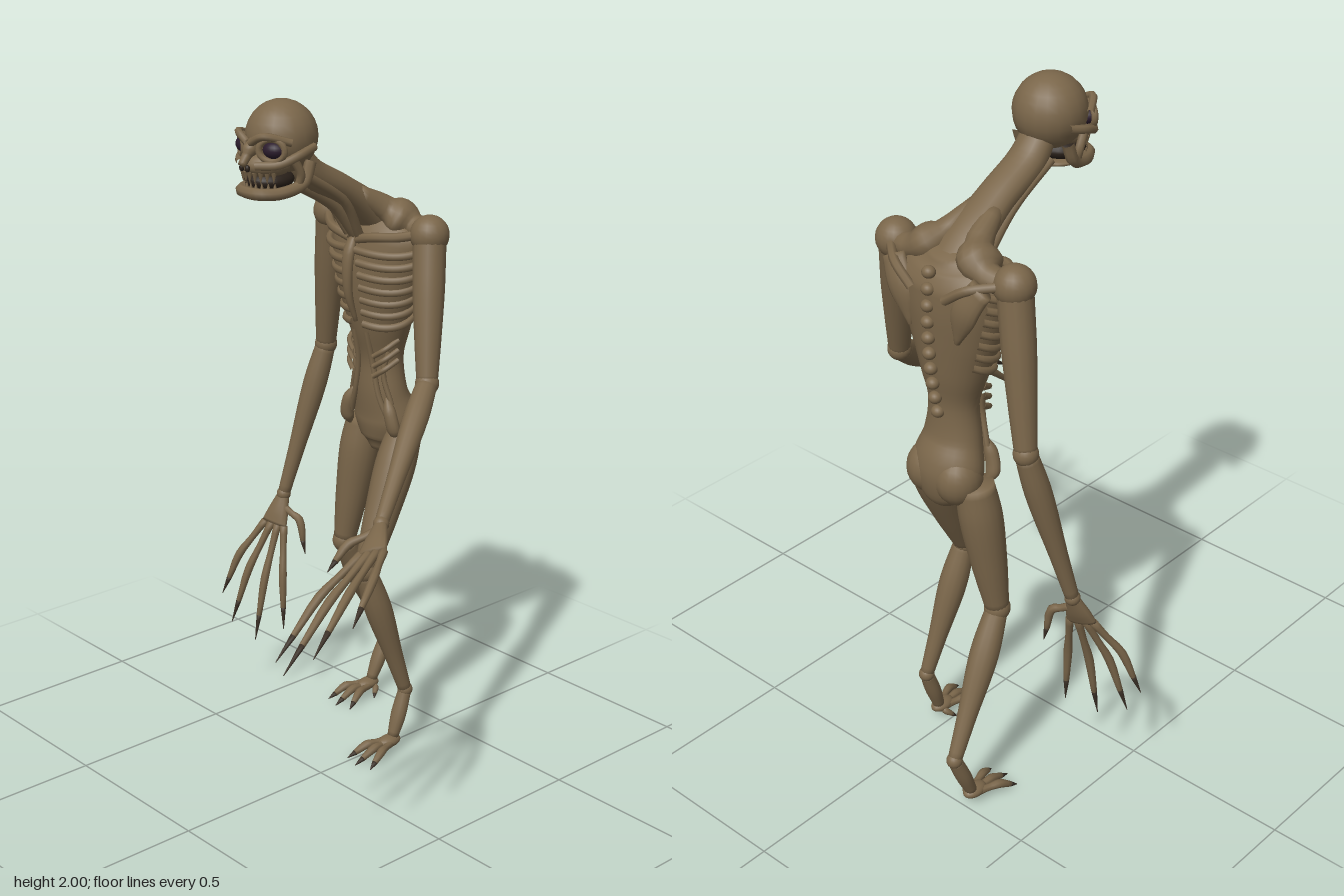
import * as THREE from 'three';

const mat = (name, color) => Object.assign(new THREE.MeshStandardMaterial({ color }), { name });
const skin = mat('dried brown skin', 0x7a664a);
const claw = mat('dark claw', 0x3b3026);
const eyeMat = mat('dark violet eye', 0x2b1c2c);
const mouthMat = mat('dark mouth', 0x2a211a);

const V = (a) => new THREE.Vector3(a[0], a[1], a[2]);

function add(parent, name, geo, material = skin) {
  const m = new THREE.Mesh(geo, material);
  m.name = name;
  parent.add(m);
  return m;
}

// Smooth body along sections [x, y, z, radiusAcross, radiusDeep]; "across" sets the width direction
function sweep(sections, { seg = 14, steps = 5, across = [1, 0, 0] } = {}) {
  const path = new THREE.CatmullRomCurve3(sections.map(V));
  const size = new THREE.CatmullRomCurve3(sections.map((s) => new THREE.Vector3(s[3], s[4] ?? s[3], 0)));
  const n = (sections.length - 1) * steps, pos = [], idx = [];
  for (let i = 0; i <= n; i++) {
    const p = path.getPoint(i / n), t = path.getTangent(i / n), r = size.getPoint(i / n);
    const u = V(across).addScaledVector(t, -V(across).dot(t)).normalize();
    const v = new THREE.Vector3().crossVectors(t, u);
    for (let j = 0; j < seg; j++) {
      const a = (j / seg) * Math.PI * 2;
      pos.push(...p.clone().addScaledVector(u, r.x * Math.cos(a)).addScaledVector(v, r.y * Math.sin(a)).toArray());
    }
  }
  const c0 = pos.length / 3;
  pos.push(...sections[0].slice(0, 3), ...sections[sections.length - 1].slice(0, 3));
  for (let j = 0; j < seg; j++) {
    const k = (j + 1) % seg;
    for (let i = 0; i < n; i++) {
      const a = i * seg + j, b = i * seg + k;
      idx.push(a, b, b + seg, a, b + seg, a + seg);
    }
    idx.push(c0, k, j, c0 + 1, n * seg + j, n * seg + k);
  }
  const g = new THREE.BufferGeometry();
  g.setAttribute('position', new THREE.Float32BufferAttribute(pos, 3));
  g.setIndex(idx);
  g.computeVertexNormals();
  return g;
}

const tube = (pts, r, n = 14) => new THREE.TubeGeometry(new THREE.CatmullRomCurve3(pts.map(V)), n, r, 7);

function ball(parent, name, p, rx, ry = rx, rz = rx, material = skin) {
  const m = add(parent, name, new THREE.SphereGeometry(1, 20, 14), material);
  m.position.set(...p);
  m.scale.set(rx, ry, rz);
  return m;
}

// Finger or toe through base, middle and tip, ending in a dark claw
function digit(parent, name, base, mid, tip, r) {
  const c = V(mid).lerp(V(tip), 0.6).toArray();
  add(parent, name, sweep([[...base, r], [...V(base).lerp(V(mid), 0.5).toArray(), r * 0.8], [...mid, r], [...c, r * 0.65]], { seg: 8, steps: 3 }));
  add(parent, name + 'Claw', sweep([[...c, r * 0.66], [...tip, 0.001]], { seg: 8, steps: 3 }), claw);
}

function torso(g) {
  add(g, 'torso', sweep([
    [0, 0.91, -0.36, 0.035, 0.04], [0, 0.95, -0.37, 0.08, 0.07], [0, 1.02, -0.37, 0.108, 0.08],
    [0, 1.1, -0.35, 0.088, 0.066], [0, 1.2, -0.345, 0.073, 0.06], [0, 1.3, -0.34, 0.1, 0.08],
    [0, 1.4, -0.335, 0.135, 0.095], [0, 1.5, -0.335, 0.163, 0.102], [0, 1.57, -0.34, 0.175, 0.097],
    [0, 1.62, -0.35, 0.12, 0.07], [0, 1.645, -0.36, 0.05, 0.035]], { seg: 28 }));
  add(g, 'sternum', sweep([[0, 1.58, -0.235, 0.012, 0.01], [0, 1.53, -0.215, 0.02, 0.014], [0, 1.42, -0.215, 0.014, 0.012], [0, 1.33, -0.245, 0.006]]));
  for (let i = 0; i < 10; i++) ball(g, 'vertebra', [0, 1.61 - i * 0.046, -0.432 + 0.00085 * (i - 3) ** 2 - 0.005], 0.019, 0.017, 0.018);
  for (const s of [-1, 1]) {
    // Ribs wrap the chest and rise towards the back
    for (let i = 0; i < 7; i++) {
      const y = 1.545 - i * 0.037, pts = [];
      for (let k = 0; k <= 7; k++) {
        const a = 0.1 + k * 0.28 + i * 0.015, yy = y + 0.03 * (k / 7) - 0.018 * Math.sin((k / 7) * Math.PI);
        const w = THREE.MathUtils.clamp((yy - 1.2) / 0.35, 0, 1);
        pts.push([s * (0.074 + 0.104 * w) * Math.sin(a), yy, -0.336 + (0.066 + 0.046 * w) * Math.cos(a)]);
      }
      add(g, 'rib', tube(pts, 0.0115, 20));
    }
    // Loose lower ribs
    for (let i = 0; i < 3; i++) add(g, 'floatingRib', tube([[s * 0.09, 1.275 - i * 0.03, -0.33], [s * 0.075, 1.25 - i * 0.03, -0.29], [s * 0.042, 1.225 - i * 0.03, -0.275]], 0.008));
    add(g, 'collarbone', tube([[s * 0.015, 1.575, -0.235], [s * 0.08, 1.59, -0.235], [s * 0.14, 1.595, -0.27], [s * 0.2, 1.61, -0.32]], 0.014));
    add(g, 'trapezius', sweep([[s * 0.03, 1.71, -0.22, 0.025], [s * 0.06, 1.655, -0.31, 0.04, 0.035], [s * 0.12, 1.615, -0.35, 0.04, 0.035], [s * 0.2, 1.6, -0.34, 0.03]], { across: [0, 0, 1] }));
    add(g, 'shoulderBlade', sweep([[s * 0.15, 1.6, -0.4, 0.035, 0.02], [s * 0.11, 1.53, -0.418, 0.042, 0.02], [s * 0.08, 1.43, -0.415, 0.008, 0.008]]));
    add(g, 'shoulderBladeRidge', tube([[s * 0.19, 1.61, -0.37], [s * 0.12, 1.595, -0.425], [s * 0.055, 1.55, -0.435]], 0.013));
    add(g, 'bellyTendon', tube([[s * 0.025, 1.3, -0.262], [s * 0.03, 1.2, -0.284], [s * 0.05, 1.1, -0.292], [s * 0.08, 1.03, -0.305]], 0.009));
    add(g, 'sideTendon', tube([[s * 0.07, 1.24, -0.31], [s * 0.06, 1.17, -0.3], [s * 0.085, 1.08, -0.31]], 0.008));
    add(g, 'hipBone', sweep([[s * 0.07, 1.1, -0.305, 0.006], [s * 0.088, 1.06, -0.3, 0.02, 0.018], [s * 0.1, 1.01, -0.305, 0.022, 0.018], [s * 0.095, 0.98, -0.32, 0.008]]));
    ball(g, 'buttock', [s * 0.05, 1.0, -0.385], 0.065, 0.075, 0.067);
  }
}

function headAndNeck(g) {
  add(g, 'neck', sweep([[0, 1.85, -0.01, 0.05, 0.04], [0, 1.79, -0.06, 0.054, 0.045], [0, 1.725, -0.18, 0.056, 0.042], [0, 1.655, -0.28, 0.066, 0.05], [0, 1.58, -0.36, 0.085, 0.05]], { seg: 18 }));
  add(g, 'throatCord', tube([[0, 1.77, -0.01], [0, 1.68, -0.16], [0, 1.58, -0.245]], 0.018));
  for (const s of [-1, 1]) add(g, 'neckCord', tube([[s * 0.045, 1.79, -0.02], [s * 0.04, 1.7, -0.16], [s * 0.02, 1.58, -0.24]], 0.014));
  ball(g, 'cranium', [0, 1.9, 0.03], 0.099, 0.1, 0.1);
  ball(g, 'upperJaw', [0, 1.835, 0.085], 0.072, 0.04, 0.073);
  ball(g, 'mouthInside', [0, 1.79, 0.075], 0.066, 0.032, 0.07, mouthMat);
  add(g, 'noseBridge', sweep([[0, 1.9, 0.125, 0.014], [0, 1.865, 0.15, 0.014], [0, 1.838, 0.17, 0.011]]));
  ball(g, 'jawFloor', [0, 1.757, 0.075], 0.06, 0.014, 0.07);
  add(g, 'lowerJaw', tube([[-0.085, 1.84, 0.0], [-0.085, 1.785, 0.025], [-0.07, 1.763, 0.09], [-0.035, 1.762, 0.142], [0.035, 1.762, 0.142], [0.07, 1.763, 0.09], [0.085, 1.785, 0.025], [0.085, 1.84, 0.0]], 0.017, 40));
  // Both rows of pointed teeth
  for (let i = 0; i < 10; i++) {
    const a = (i - 4.5) * 0.25, x = 0.064 * Math.sin(a), z = 0.075 + 0.075 * Math.cos(a);
    add(g, 'upperTooth', new THREE.ConeGeometry(0.008, 0.03, 6).rotateX(Math.PI).translate(x, 1.803, z));
    add(g, 'lowerTooth', new THREE.ConeGeometry(0.007, 0.024, 6).translate(x, 1.782, z - 0.004));
  }
  for (const s of [-1, 1]) {
    const eye = ball(g, 'eye', [s * 0.06, 1.88, 0.105], 0.033, 0.024, 0.028, eyeMat);
    eye.rotation.y = s * 0.45;
    const rim = add(g, 'eyeSocketRim', new THREE.TorusGeometry(0.036, 0.01, 8, 22));
    rim.position.set(s * 0.061, 1.88, 0.117);
    rim.rotation.y = s * 0.55;
    rim.scale.y = 0.82;
    add(g, 'brow', tube([[s * 0.006, 1.896, 0.145], [s * 0.05, 1.918, 0.138], [s * 0.095, 1.9, 0.075]], 0.011));
    add(g, 'cheekbone', tube([[s * 0.03, 1.838, 0.148], [s * 0.08, 1.843, 0.11], [s * 0.102, 1.865, 0.055], [s * 0.093, 1.88, -0.005]], 0.012));
    add(g, 'jawMuscle', tube([[s * 0.088, 1.85, 0.06], [s * 0.09, 1.81, 0.04], [s * 0.08, 1.775, 0.04]], 0.012));
    ball(g, 'nostril', [s * 0.012, 1.83, 0.16], 0.007, 0.01, 0.007, mouthMat);
  }
}

function arm(root, name, { shoulder, elbow, wrist, knuckles, tips, bend, thumb }) {
  const g = new THREE.Group();
  g.name = name;
  root.add(g);
  const at = (a, b, t) => V(a).lerp(V(b), t).toArray();
  ball(g, 'shoulder', shoulder, 0.056);
  add(g, 'upperArm', sweep([[...shoulder, 0.048], [...at(shoulder, elbow, 0.35), 0.046], [...at(shoulder, elbow, 0.75), 0.037], [...elbow, 0.03]]));
  ball(g, 'elbow', elbow, 0.034);
  add(g, 'forearm', sweep([[...elbow, 0.03], [...at(elbow, wrist, 0.25), 0.036], [...at(elbow, wrist, 0.7), 0.025], [...wrist, 0.019]]));
  ball(g, 'wrist', wrist, 0.022);
  const [k1, k4] = knuckles, mid = V(k1).lerp(V(k4), 0.5);
  const across = V(k1).sub(V(k4)).toArray();
  add(g, 'palm', sweep([[...wrist, 0.018, 0.016], [...at(wrist, mid.toArray(), 0.6), 0.036, 0.018], [...mid.toArray(), 0.045, 0.014]], { across }));
  tips.forEach((tip, i) => {
    const base = V(k1).lerp(V(k4), i / 3);
    const m = base.clone().lerp(V(tip), 0.45).add(V(bend)).addScaledVector(base.clone().sub(mid), 0.3);
    digit(g, 'finger', base.toArray(), m.toArray(), tip, 0.0125);
  });
  digit(g, 'thumb', ...thumb, 0.013);
}

function leg(root, name, hip, knee, ankle, ball0, dir) {
  const g = new THREE.Group();
  g.name = name;
  root.add(g);
  const at = (a, b, t) => V(a).lerp(V(b), t).toArray();
  add(g, 'thigh', sweep([[...hip, 0.052], [...at(hip, knee, 0.25), 0.06], [...at(hip, knee, 0.65), 0.049], [...knee, 0.033]], { seg: 18 }));
  ball(g, 'knee', knee, 0.037, 0.038, 0.037);
  add(g, 'shin', sweep([[...knee, 0.031], [...at(knee, ankle, 0.3), 0.041], [...at(knee, ankle, 0.7), 0.028], [...ankle, 0.02]]));
  ball(g, 'ankle', ankle, 0.023);
  add(g, 'instep', sweep([[...ankle, 0.02], [...at(ankle, ball0, 0.5), 0.025, 0.022], [...ball0, 0.017]]));
  const [x, , z] = ball0;
  ball(g, 'footPad', [x, 0.038, z + 0.015], 0.026, 0.018, 0.04);
  for (const i of [-1, 0, 1]) {
    digit(g, 'toe', [x + i * 0.012, 0.036, z + 0.02], [x + i * 0.032 + dir * 0.003, 0.036, z + 0.08], [x + i * 0.05, 0.003, z + 0.155 - Math.abs(i) * 0.015], 0.013);
  }
  digit(g, 'backToe', [x, 0.036, z], [x - dir * 0.025, 0.028, z + 0.005], [x - dir * 0.045, 0.004, z + 0.03], 0.01);
}

export function createModel() {
  const root = new THREE.Group();
  root.name = 'gauntCreature';
  const body = new THREE.Group();
  body.name = 'body';
  body.position.x = -0.125;
  root.add(body);
  torso(body);
  headAndNeck(body);

  arm(root, 'rightArm', {
    shoulder: [-0.327, 1.605, -0.335], elbow: [-0.405, 1.17, -0.38], wrist: [-0.473, 0.69, -0.265],
    knuckles: [[-0.51, 0.6, -0.22], [-0.445, 0.595, -0.24]], bend: [0, 0, 0.015],
    tips: [[-0.605, 0.35, -0.12], [-0.56, 0.265, -0.12], [-0.475, 0.225, -0.145], [-0.402, 0.27, -0.2]],
    thumb: [[-0.46, 0.65, -0.255], [-0.405, 0.62, -0.27], [-0.383, 0.51, -0.275]],
  });
  arm(root, 'leftArm', {
    shoulder: [0.078, 1.605, -0.335], elbow: [0.165, 1.21, -0.25], wrist: [0.355, 0.94, 0.1],
    knuckles: [[0.455, 0.915, 0.185], [0.388, 0.89, 0.205]], bend: [0, 0.018, 0],
    tips: [[0.6, 0.82, 0.425], [0.565, 0.755, 0.525], [0.485, 0.69, 0.555], [0.39, 0.675, 0.5]],
    thumb: [[0.365, 0.93, 0.125], [0.322, 0.895, 0.19], [0.32, 0.835, 0.26]],
  });

  leg(root, 'rightLeg', [-0.215, 0.99, -0.365], [-0.257, 0.585, -0.325], [-0.285, 0.19, -0.535], [-0.29, 0.048, -0.475], -1);
  leg(root, 'leftLeg', [-0.035, 0.99, -0.36], [0.0, 0.61, -0.175], [0.035, 0.19, -0.31], [0.037, 0.048, -0.26], 1);
  return root;
}
